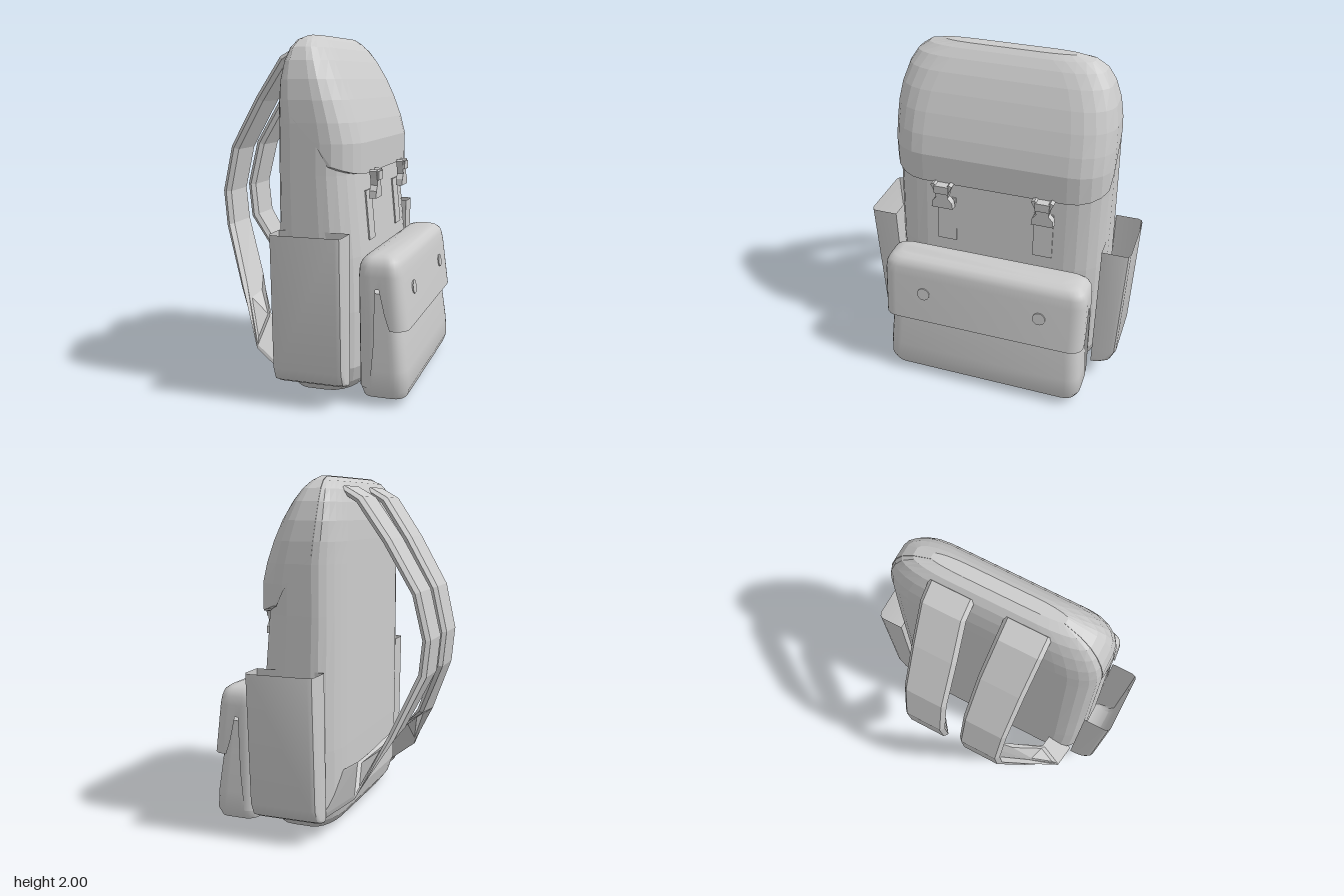
import * as THREE from 'three';
import { toCreasedNormals } from 'three/addons/utils/BufferGeometryUtils.js';

const material = (opts = {}) => new THREE.MeshStandardMaterial({ color: 0xcccccc, ...opts });
const flat = material({ flatShading: true });
const flatDouble = material({ flatShading: true, side: THREE.DoubleSide });
const smoothDouble = material({ side: THREE.DoubleSide });

function part(name, geometry, mat, parent) {
  const mesh = new THREE.Mesh(geometry, mat);
  mesh.name = name;
  parent.add(mesh);
  return mesh;
}

// Skin a stack of closed rings of [x, y, z] points
function loft(rings, capStart = true, capEnd = true) {
  const n = rings[0].length, last = (rings.length - 1) * n, index = [];
  for (let i = 0; i < rings.length - 1; i++) {
    for (let j = 0; j < n; j++) {
      const k = (j + 1) % n;
      const a = i * n + j, b = i * n + k, c = a + n, d = b + n;
      index.push(a, b, d, a, d, c);
    }
  }
  for (let j = 1; j < n - 1; j++) {
    if (capStart) index.push(0, j + 1, j);
    if (capEnd) index.push(last, last + j, last + j + 1);
  }
  const g = new THREE.BufferGeometry();
  g.setAttribute('position', new THREE.Float32BufferAttribute(rings.flat(2), 3));
  g.setIndex(index);
  g.computeVertexNormals();
  return g;
}

// Piecewise-linear lookup in rows of [key, ...values]
function lookup(rows, key) {
  if (key <= rows[0][0]) return rows[0];
  for (let i = 1; i < rows.length; i++) {
    if (key <= rows[i][0]) {
      const t = (key - rows[i - 1][0]) / (rows[i][0] - rows[i - 1][0]);
      return rows[i].map((v, k) => THREE.MathUtils.lerp(rows[i - 1][k], v, t));
    }
  }
  return rows[rows.length - 1];
}

// Rounded-rectangle outline for a row of [y, back x, front x, half width]
function outline([y, xb, xf, hz], style) {
  const { back, front, side, seg = 5, sub = 4 } = style;
  const rb = (xf - xb) * back, rf = (xf - xb) * front, rz = Math.min(side, hz * 0.5);
  const corners = [[xf - rf, -1, rf], [xb + rb, -1, rb], [xb + rb, 1, rb], [xf - rf, 1, rf]];
  const pts = [];
  corners.forEach(([cx, s, rx], c) => {
    for (let k = 0; k <= seg; k++) {
      const a = (c + k / seg) * Math.PI / 2;
      pts.push([cx + rx * Math.cos(a), y, s * (hz - rz) - rz * Math.sin(a)]);
    }
    if (c % 2 === 0) {
      const next = corners[c + 1][0];
      for (let k = 1; k < sub; k++) pts.push([THREE.MathUtils.lerp(cx, next, k / sub), y, s * hz]);
    }
  });
  return pts;
}

// Rings of a hood whose lower rim follows edge: rows of [x, y]
function hoodRings(rows, edge, style, midY) {
  const rim = outline(lookup(rows, midY), style).map(p => lookup(edge, p[0])[1]);
  return rows.map(row => rim.map((e, j) => {
    const y = Math.max(e, row[0]);
    return outline(lookup(rows, y), style)[j];
  }));
}

export function createModel() {
  const model = new THREE.Group();
  model.name = 'backpack';

  // Main bag and its top flap
  const bagStyle = { back: 0.27, front: 0.4, side: 0.22 };
  const flapRows = [
    [1.25, -0.16, 0.32, 0.645], [1.42, -0.16, 0.32, 0.645], [1.53, -0.16, 0.292, 0.644],
    [1.65, -0.16, 0.248, 0.638], [1.76, -0.155, 0.2, 0.62], [1.86, -0.138, 0.147, 0.585],
    [1.93, -0.115, 0.1, 0.54], [1.975, -0.085, 0.06, 0.475], [2, -0.04, 0.03, 0.38],
  ];
  const bagRows = [
    [0, -0.03, 0.22, 0.45], [0.03, -0.085, 0.27, 0.53], [0.09, -0.13, 0.305, 0.595],
    [0.18, -0.155, 0.328, 0.632], [0.5, -0.16, 0.333, 0.642], [0.8, -0.16, 0.322, 0.642],
    [1.25, -0.16, 0.28, 0.641],
    ...flapRows.slice(2).map(([y, b, f, h]) => [y - 0.003, b, f - 0.012, h - 0.004]),
  ];
  part('mainBag', loft(bagRows.map(r => outline(r, bagStyle))), flat, model);

  const flapEdge = [[-0.05, 2], [-0.04, 1.58], [0.15, 1.36], [0.16, 1.31], [0.32, 1.25]];
  const flapRings = hoodRings(flapRows, flapEdge, bagStyle, 1.4);
  const lip = flapRings[0].map(([x, y, z]) => [x - 0.05 * Math.max(0, (x - 0.1) / 0.22), y, z]);
  part('topFlap', loft([lip, ...flapRings], false), flatDouble, model);

  // Front pocket with a flap hooded over it
  const pocketStyle = { back: 0.26, front: 0.26, side: 0.08, sub: 6 };
  const pocketRows = [
    [0.03, 0.375, 0.55, 0.54], [0.045, 0.345, 0.585, 0.585], [0.09, 0.335, 0.6, 0.608],
    [0.2, 0.335, 0.595, 0.604], [0.43, 0.335, 0.565, 0.585], [0.62, 0.335, 0.535, 0.57],
  ];
  const pocketHood = [
    [0.1, 0.33, 0.6, 0.612], [0.43, 0.325, 0.603, 0.615], [0.72, 0.32, 0.565, 0.615],
    [0.77, 0.323, 0.555, 0.61], [0.8, 0.335, 0.545, 0.595], [0.82, 0.355, 0.52, 0.57],
    [0.83, 0.39, 0.485, 0.53],
  ];
  const pocketEdge = [[0.395, 0.1], [0.437, 0.75], [0.485, 0.43], [0.6, 0.43]];
  const frontPocket = new THREE.Group();
  frontPocket.name = 'frontPocket';
  model.add(frontPocket);
  part('pocketBody', toCreasedNormals(loft(pocketRows.map(r => outline(r, pocketStyle))), 0.7),
    smoothDouble, frontPocket);
  part('pocketFlap', toCreasedNormals(loft(hoodRings(pocketHood, pocketEdge, pocketStyle, 0.6), false), 0.7),
    smoothDouble, frontPocket);

  // Buckle outline, seen from the front
  const buckleShape = new THREE.Shape([
    [-0.065, 0], [0.065, 0], [0.06, 0.04], [0.035, 0.07], [0.045, 0.11], [0.065, 0.15], [0.045, 0.16],
    [0.03, 0.145], [-0.03, 0.145], [-0.045, 0.16], [-0.065, 0.15], [-0.045, 0.11], [-0.035, 0.07],
    [-0.06, 0.04],
  ].map(p => new THREE.Vector2(...p)));
  const buckleGeometry = new THREE.ExtrudeGeometry(buckleShape, { depth: 0.04, bevelEnabled: false });

  for (const s of [1, -1]) {
    const buckle = part('buckle', buckleGeometry, flat, model);
    buckle.rotation.y = Math.PI / 2;
    buckle.position.set(0.32, 1.105, s * 0.3);
    const bar = part('buckleBar', new THREE.BoxGeometry(0.05, 0.05, 0.085), flat, model);
    bar.position.set(0.345, 1.23, s * 0.3);
    const strap = part('buckleStrap', new THREE.BoxGeometry(0.014, 0.28, 0.115), flat, model);
    strap.position.set(0.303, 1.005, s * 0.293);
    strap.rotation.z = 0.093;
    const snap = part('snapButton', new THREE.CylinderGeometry(0.038, 0.038, 0.016, 20), material(), frontPocket);
    snap.rotation.z = -Math.PI / 2 + 0.13;
    snap.position.set(0.577, 0.62, s * 0.355);
  }

  // One side pocket and one shoulder strap, mirrored across the bag
  const sideRows = [[0.1, 0.63], [0.115, 0.68], [0.14, 0.73], [0.21, 0.763], [0.95, 0.8]];
  const sideRings = sideRows.map(([y, out], i) => {
    const inset = i === 0 ? 0.012 : 0, zi = 0.612 + 0.025 * y;
    const u = [[-0.11, zi], [-0.11, out - 0.03], [-0.102, out - 0.01], [-0.08, out]];
    const half = u.map(([x, z]) => [x + inset, y, Math.max(z, zi)]);
    return [...half, ...half.map(([x, , z]) => [0.18 - x, y, z]).reverse()];
  });
  const sideGeometry = toCreasedNormals(loft(sideRings, true, false), 0.7);

  // Strap stations: inner edge point, outer edge point, half thickness
  const stations = [
    [-0.1, 1.93, 0.085, -0.1, 1.93, 0.35, 0.02], [-0.2, 1.87, 0.085, -0.2, 1.87, 0.35, 0.024],
    [-0.355, 1.645, 0.065, -0.355, 1.645, 0.335, 0.024], [-0.52, 1.36, 0.055, -0.52, 1.36, 0.32, 0.024],
    [-0.58, 1.1, 0.05, -0.58, 1.1, 0.31, 0.024], [-0.56, 0.9, 0.05, -0.56, 0.9, 0.315, 0.024],
    [-0.415, 0.58, 0.17, -0.42, 0.56, 0.44, 0.02], [-0.24, 0.42, 0.45, -0.27, 0.25, 0.59, 0.008],
    [-0.1, 0.33, 0.46, -0.1, 0.12, 0.605, 0.008],
  ];
  const edges = stations.map(s => [new THREE.Vector3(...s.slice(0, 3)), new THREE.Vector3(...s.slice(3, 6))]);
  const middles = edges.map(([a, b]) => a.clone().lerp(b, 0.5));
  const strapRings = edges.map(([a, b], i) => {
    const along = middles[Math.min(i + 1, 8)].clone().sub(middles[Math.max(i - 1, 0)]);
    const n = along.cross(b.clone().sub(a)).setLength(stations[i][6]);
    return [[0, 0], [0.08, -1], [0.92, -1], [1, 0], [0.92, 1], [0.08, 1]]
      .map(([t, k]) => a.clone().lerp(b, t).addScaledVector(n, k).toArray());
  });
  const strapGeometry = loft(strapRings);

  for (const s of [1, -1]) {
    const half = new THREE.Group();
    half.name = s > 0 ? 'frontSide' : 'backSide';
    half.scale.z = s;
    model.add(half);
    part('sidePocket', sideGeometry, smoothDouble, half);
    part('shoulderStrap', strapGeometry, flatDouble, half);
  }
  return model;
}
